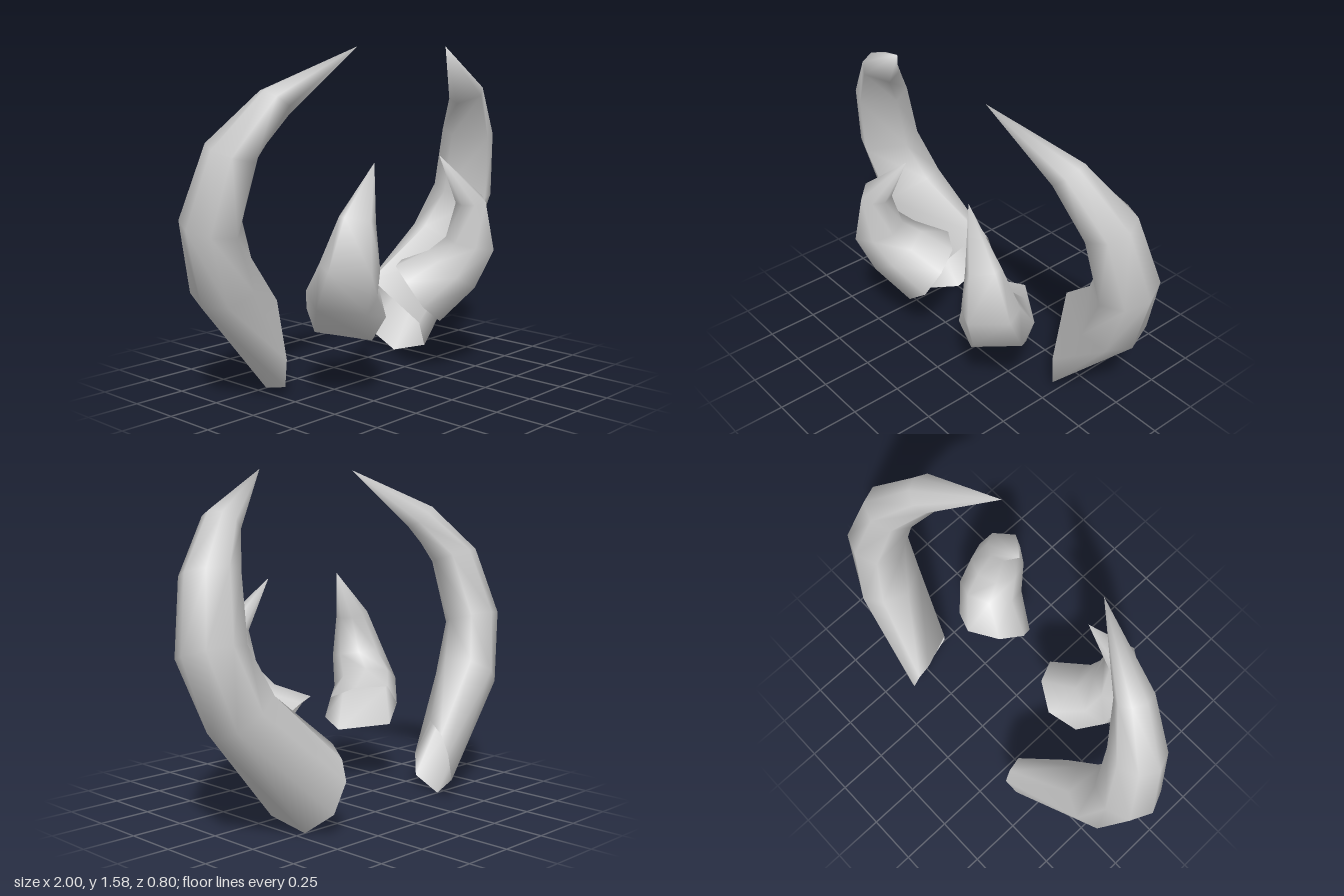
import * as THREE from 'three';

const SIDES = 7;
const material = new THREE.MeshStandardMaterial({ color: 0xcccccc, side: THREE.DoubleSide });

// base: corners of the open end
// rings: [centre x, y, z, radius, normal x, y, z], from the base towards the tip
// across: normal of the plane the horn bends in
// angles: corners of each ring in degrees, 0 being the outer side of the bend;
//         an octagon with one corner left out, which makes one broad flat side
const LARGE = {
  base: [
    [0.45, 0, -0.25], [0.4, 0.1, -0.38], [0.345, 0.24, -0.4], [0.335, 0.33, -0.365],
    [0.33, 0.39, -0.3], [0.465, 0.17, -0.09], [0.49, 0.05, -0.075],
  ],
  rings: [
    [0.74, 0.56, -0.17, 0.168, 0.54, 0.84, 0.2],
    [0.847, 0.83, -0.115, 0.153, 0.02, 0.97, 0.25],
    [0.788, 1.145, -0.04, 0.132, -0.11, 0.95, 0.27],
    [0.64, 1.35, 0.06, 0.088, -0.58, 0.78, 0.2],
  ],
  tip: [0.3, 1.58, 0.2],
  across: [0, 0, 1],
  angles: [0, 45, 90, 135, 180, 270, 315], // flat at the front of the inner side
};
const SMALL = {
  base: [
    [0.15, 0.53, 0.025], [0.095, 0.475, 0.14], [0.13, 0.36, 0.215], [0.24, 0.275, 0.23],
    [0.405, 0.31, 0.03], [0.425, 0.42, 0], [0.29, 0.53, -0.06],
  ],
  rings: [
    [0.397, 0.508, 0.195, 0.158, 0.28, 0.8, 0.48],
    [0.43, 0.645, 0.275, 0.132, 0.05, 0.96, 0.2],
    [0.4, 0.85, 0.293, 0.08, -0.2, 0.97, 0.02],
  ],
  tip: [0.225, 1.075, 0.23],
  across: [-0.707, 0, 0.707],
  angles: [180, 225, 270, 315, 45, 90, 135], // flat along the outer side
};

// Hollow horn skinned from its open base over its rings to a point; side -1 mirrors it
function makeHorn({ base, rings, tip, across, angles }, side) {
  const w = new THREE.Vector3(...across);
  const points = base.map((p) => new THREE.Vector3(...p));
  for (const [x, y, z, r, nx, ny, nz] of rings) {
    const n = new THREE.Vector3(nx, ny, nz).normalize();
    const u = n.clone().cross(w).normalize(); // towards the outer side of the bend
    const v = n.clone().cross(u);
    for (const degrees of angles) {
      const a = THREE.MathUtils.degToRad(degrees);
      points.push(new THREE.Vector3(x, y, z)
        .addScaledVector(u, r * Math.cos(a))
        .addScaledVector(v, r * Math.sin(a)));
    }
  }
  points.push(new THREE.Vector3(...tip));
  for (const p of points) p.x *= side;

  const index = [];
  const tri = (a, b, c) => (side > 0 ? index.push(a, b, c) : index.push(a, c, b));
  for (let i = 0; i <= rings.length; i++) {
    for (let j = 0; j < SIDES; j++) {
      const a = i * SIDES + j, b = i * SIDES + ((j + 1) % SIDES);
      if (i === rings.length) {
        tri(a, b, points.length - 1);
      } else {
        tri(a, b, b + SIDES);
        tri(a, b + SIDES, a + SIDES);
      }
    }
  }
  const geometry = new THREE.BufferGeometry().setFromPoints(points);
  geometry.setIndex(index);
  geometry.computeVertexNormals();
  return new THREE.Mesh(geometry, material);
}

export function createModel() {
  const model = new THREE.Group();
  model.name = 'horns';
  for (const [side, label] of [[1, 'left'], [-1, 'right']]) {
    const large = makeHorn(LARGE, side);
    large.name = label + 'LargeHorn';
    const small = makeHorn(SMALL, side);
    small.name = label + 'SmallHorn';
    model.add(large, small);
  }
  return model;
}
